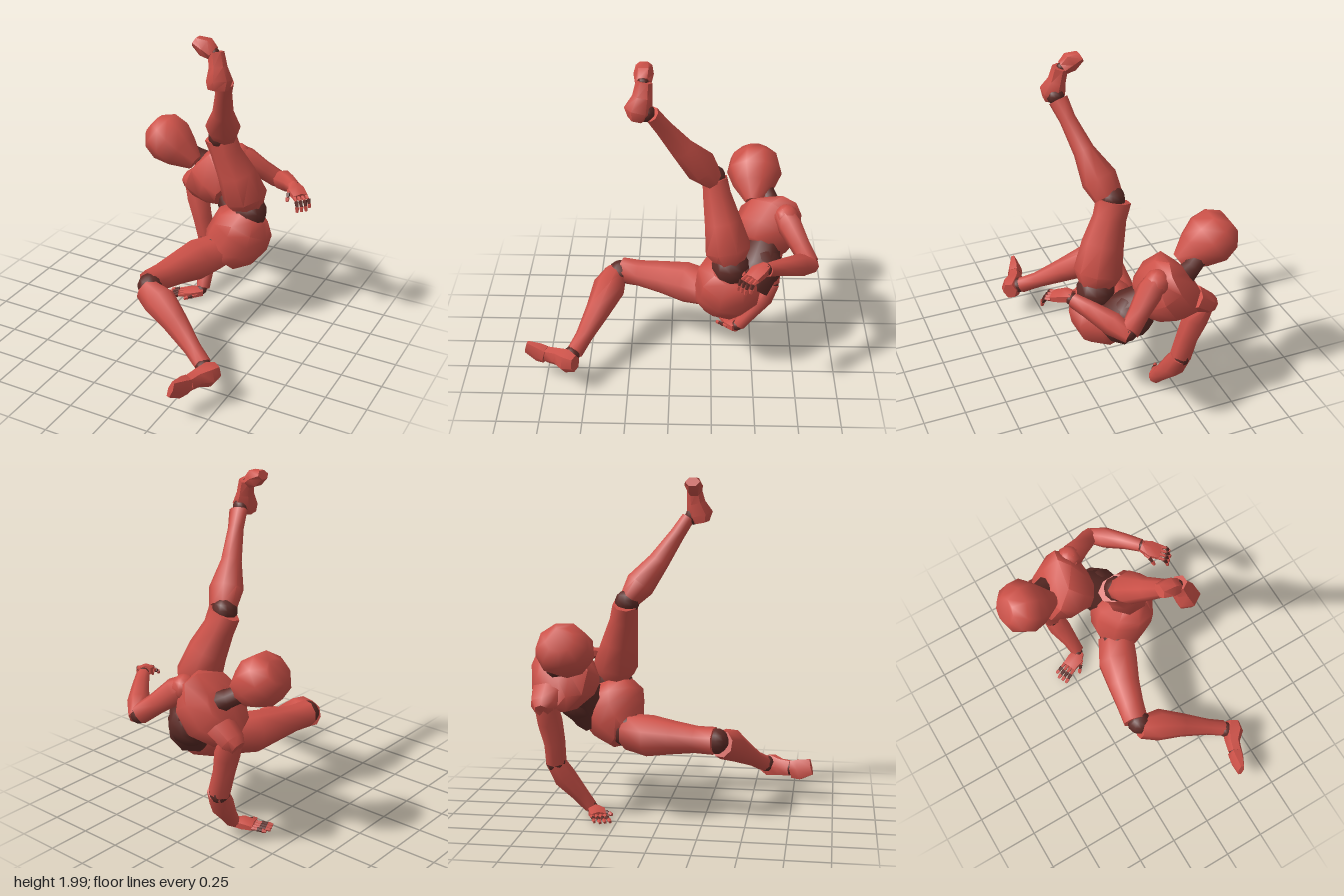
import * as THREE from 'three';
import { toCreasedNormals } from 'three/addons/utils/BufferGeometryUtils.js';

const shell = new THREE.MeshStandardMaterial({ color: 0xcc5148 });
const joint = new THREE.MeshStandardMaterial({ color: 0x5c2b26 });
const V = (a) => new THREE.Vector3(...a);

// Loft through sections [x, y, z, a, b]: a is the radius along ref, b across it
function loft(name, sections, ref, mat = shell, sides = 8) {
  const pos = [], index = [], n = sections.length;
  const centres = sections.map((s) => V(s.slice(0, 3)));
  const axis = centres[n - 1].clone().sub(centres[0]).normalize();
  sections.forEach((s, i) => {
    const t = centres[Math.min(i + 1, n - 1)].clone().sub(centres[Math.max(i - 1, 0)]).normalize();
    t.add(axis).normalize();
    const u = V(ref).addScaledVector(t, -V(ref).dot(t)).normalize();
    const v = t.clone().cross(u);
    for (let j = 0; j < sides; j++) {
      const a = ((j + 0.5) / sides) * Math.PI * 2;
      const p = centres[i].clone()
        .addScaledVector(u, s[3] * Math.cos(a))
        .addScaledVector(v, (s[4] ?? s[3]) * Math.sin(a));
      pos.push(p.x, p.y, p.z);
    }
  });
  for (let i = 0; i < n - 1; i++) {
    for (let j = 0; j < sides; j++) {
      const a = i * sides + j, b = i * sides + ((j + 1) % sides);
      index.push(a, b, b + sides, a, b + sides, a + sides);
    }
  }
  const last = (n - 1) * sides;
  for (let j = 1; j < sides - 1; j++) {
    index.push(0, j + 1, j, last, last + j, last + j + 1);
  }
  const g = new THREE.BufferGeometry();
  g.setAttribute('position', new THREE.Float32BufferAttribute(pos, 3));
  g.setIndex(index);
  const mesh = new THREE.Mesh(toCreasedNormals(g, 1.0), mat);
  mesh.name = name;
  return mesh;
}

// Ball joint
function ball(name, x, y, z, r, mat = joint) {
  const mesh = new THREE.Mesh(new THREE.SphereGeometry(r, 10, 7), mat);
  mesh.name = name;
  mesh.position.set(x, y, z);
  return mesh;
}

// Hand with palm, four jointed fingers and a thumb
function hand(name, wrist, dir, thumbDir, curl) {
  const group = new THREE.Group();
  group.name = name;
  const d = V(dir).normalize();
  const side = V(thumbDir).addScaledVector(d, -V(thumbDir).dot(d)).normalize();
  const down = d.clone().cross(side);
  if (down.y > 0) down.negate();
  const at = (f, s, h) => V(wrist).addScaledVector(d, f).addScaledVector(side, s).addScaledVector(down, h);
  const sec = (p, a, b) => [p.x, p.y, p.z, a, b];
  const ref = side.toArray();
  group.add(loft('palm', [
    sec(at(-0.01, 0, 0), 0.036, 0.034), sec(at(0.05, 0.005, 0), 0.058, 0.036), sec(at(0.115, 0, 0.005), 0.052, 0.024),
  ], ref, shell, 6));
  const finger = (label, base, heading, bend, len) => {
    let p = base.clone();
    for (let k = 0; k < 3; k++) {
      const step = heading.clone().addScaledVector(down, bend * k).normalize().multiplyScalar(len * (1 - 0.15 * k));
      const q = p.clone().add(step);
      group.add(loft(label, [sec(p, 0.013, 0.014), sec(q, 0.009, 0.009)], ref, k === 1 ? joint : shell, 5));
      p = q;
    }
  };
  for (let i = 0; i < 4; i++) {
    const s = 0.038 - 0.025 * i;
    finger('finger', at(0.11, s, 0.005), d.clone().addScaledVector(side, s * 2), curl, i === 3 ? 0.035 : 0.043);
  }
  finger('thumb', at(0.03, 0.043, 0.005), d.clone().addScaledVector(side, 0.5), curl * 0.4, 0.036);
  return group;
}

export function createModel() {
  const model = new THREE.Group();
  model.name = 'poseableFigure';
  const add = (...parts) => model.add(...parts);
  const chestLeft = [0.72, 0.68, -0.15];

  // Head, neck and trunk
  add(
    loft('head', [
      [-0.24, 0.925, -0.5, 0.055, 0.055], [-0.335, 0.985, -0.5, 0.115, 0.13], [-0.415, 1.04, -0.505, 0.15, 0.172],
      [-0.49, 1.095, -0.505, 0.14, 0.15], [-0.54, 1.13, -0.505, 0.075, 0.085],
    ], [0.62, 0.77, 0], shell, 9),
    loft('neck', [[-0.2, 0.89, -0.61, 0.07], [-0.27, 0.93, -0.59, 0.055], [-0.35, 0.98, -0.55, 0.055]], chestLeft, joint),
    loft('chest', [
      [0.0, 0.75, -0.51, 0.1, 0.13], [-0.065, 0.79, -0.54, 0.17, 0.185], [-0.15, 0.84, -0.595, 0.225, 0.2],
      [-0.21, 0.865, -0.65, 0.225, 0.135], [-0.25, 0.895, -0.64, 0.1, 0.08],
    ], chestLeft, shell, 9),
    ball('abdomen', 0.07, 0.665, -0.535, 0.135),
    loft('waist', [[0.14, 0.56, -0.455, 0.135], [0.08, 0.67, -0.52, 0.14], [-0.03, 0.77, -0.56, 0.1]], chestLeft, joint),
    loft('pelvis', [
      [0.07, 0.44, -0.24, 0.12, 0.12], [0.11, 0.5, -0.3, 0.185, 0.17], [0.155, 0.575, -0.345, 0.2, 0.205],
      [0.185, 0.66, -0.355, 0.188, 0.2], [0.21, 0.73, -0.37, 0.125, 0.14],
    ], [0.8, -0.5, 0], shell, 9),
  );

  // Raised left leg
  add(
    ball('leftHip', 0.21, 0.745, -0.35, 0.115),
    loft('leftThigh', [
      [0.2, 0.785, -0.35, 0.105, 0.09], [0.19, 0.86, -0.335, 0.14, 0.14], [0.145, 1.02, -0.3, 0.122, 0.11],
      [0.09, 1.16, -0.265, 0.098, 0.085], [0.06, 1.255, -0.25, 0.105, 0.075],
    ], [1, 0, 0]),
    ball('leftKnee', 0.065, 1.265, -0.24, 0.075),
    loft('leftShin', [
      [0.085, 1.28, -0.23, 0.088, 0.065], [0.115, 1.365, -0.17, 0.105, 0.095], [0.165, 1.5, -0.065, 0.06, 0.068],
      [0.22, 1.66, 0.04, 0.047, 0.048], [0.25, 1.755, 0.1, 0.058, 0.042],
    ], [1, 0, 0]),
    ball('leftAnkle', 0.255, 1.765, 0.13, 0.05),
    loft('leftFoot', [
      [0.255, 1.73, 0.18, 0.06, 0.05], [0.258, 1.78, 0.17, 0.072, 0.08], [0.238, 1.85, 0.15, 0.05, 0.055],
      [0.22, 1.93, 0.14, 0.045, 0.045],
    ], [1, 0, 0], shell, 6),
    ball('leftToeJoint', 0.21, 1.925, 0.145, 0.03),
    loft('leftToes', [
      [0.205, 1.92, 0.145, 0.04, 0.045], [0.16, 1.95, 0.145, 0.058, 0.055], [0.1, 1.975, 0.145, 0.03, 0.045],
    ], [0.3, 0.9, 0], shell, 6),
  );

  // Outstretched right leg
  add(
    ball('rightHip', 0.05, 0.49, -0.23, 0.11),
    loft('rightThigh', [
      [0.045, 0.48, -0.23, 0.11, 0.12], [-0.02, 0.475, -0.09, 0.125, 0.13], [-0.065, 0.48, 0.06, 0.1, 0.105],
      [-0.1, 0.483, 0.2, 0.08, 0.088], [-0.125, 0.485, 0.31, 0.083, 0.08],
    ], [0, 1, 0]),
    ball('rightKnee', -0.11, 0.48, 0.32, 0.076),
    loft('rightShin', [
      [-0.12, 0.465, 0.35, 0.08, 0.07], [-0.01, 0.435, 0.385, 0.1, 0.1], [0.13, 0.36, 0.445, 0.075, 0.075],
      [0.28, 0.275, 0.52, 0.05, 0.052], [0.375, 0.225, 0.57, 0.05, 0.05],
    ], [0, 1, 0]),
    ball('rightAnkle', 0.385, 0.22, 0.585, 0.05),
    loft('rightFoot', [
      [0.455, 0.205, 0.56, 0.055, 0.045], [0.425, 0.2, 0.61, 0.075, 0.07], [0.385, 0.2, 0.67, 0.058, 0.05],
      [0.365, 0.2, 0.735, 0.052, 0.046],
    ], [0.2, 1, 0], shell, 6),
    ball('rightToeJoint', 0.36, 0.2, 0.735, 0.038),
    loft('rightToes', [
      [0.36, 0.195, 0.745, 0.06, 0.05], [0.345, 0.2, 0.79, 0.07, 0.045], [0.325, 0.225, 0.865, 0.055, 0.018],
    ], [0.2, 1, 0], shell, 6),
  );

  // Supporting right arm
  add(
    loft('rightShoulder', [
      [-0.26, 0.78, -0.65, 0.07, 0.1], [-0.345, 0.715, -0.655, 0.065, 0.08], [-0.385, 0.69, -0.655, 0.045, 0.045],
    ], [0.7, -0.7, 0], shell, 7),
    loft('rightUpperArm', [
      [-0.33, 0.72, -0.65, 0.06, 0.07], [-0.29, 0.61, -0.635, 0.075, 0.075], [-0.25, 0.48, -0.62, 0.064, 0.065],
      [-0.215, 0.35, -0.62, 0.066, 0.062],
    ], [1, 0, 0], shell, 7),
    ball('rightElbow', -0.215, 0.345, -0.62, 0.06),
    loft('rightForearm', [
      [-0.21, 0.355, -0.63, 0.066, 0.055], [-0.19, 0.25, -0.575, 0.072, 0.07], [-0.16, 0.14, -0.49, 0.052, 0.05],
      [-0.145, 0.06, -0.43, 0.045, 0.04],
    ], [1, 0, 0], shell, 7),
    ball('rightWrist', -0.15, 0.055, -0.42, 0.036),
    hand('rightHand', [-0.145, 0.045, -0.41], [-0.85, -0.02, 0.4], [0.45, 0, 0.85], 0.08),
  );

  // Free left arm
  add(
    ball('leftShoulder', -0.02, 0.955, -0.68, 0.075, shell),
    loft('leftUpperArm', [
      [-0.04, 0.97, -0.66, 0.065, 0.065], [0.03, 0.925, -0.7, 0.078, 0.075], [0.12, 0.845, -0.76, 0.063, 0.06],
      [0.2, 0.775, -0.815, 0.06, 0.055],
    ], [0, 1, 0], shell, 7),
    ball('leftElbow', 0.205, 0.775, -0.81, 0.053),
    loft('leftForearm', [
      [0.2, 0.765, -0.83, 0.047, 0.05], [0.27, 0.805, -0.75, 0.07, 0.064], [0.36, 0.85, -0.64, 0.053, 0.049],
      [0.425, 0.875, -0.555, 0.042, 0.04],
    ], [0, 1, 0], shell, 7),
    ball('leftWrist', 0.43, 0.88, -0.545, 0.036),
    hand('leftHand', [0.425, 0.89, -0.54], [0.6, -0.15, 0.6], [-0.6, 0, 0.55], 1.2),
  );
  return model;
}
